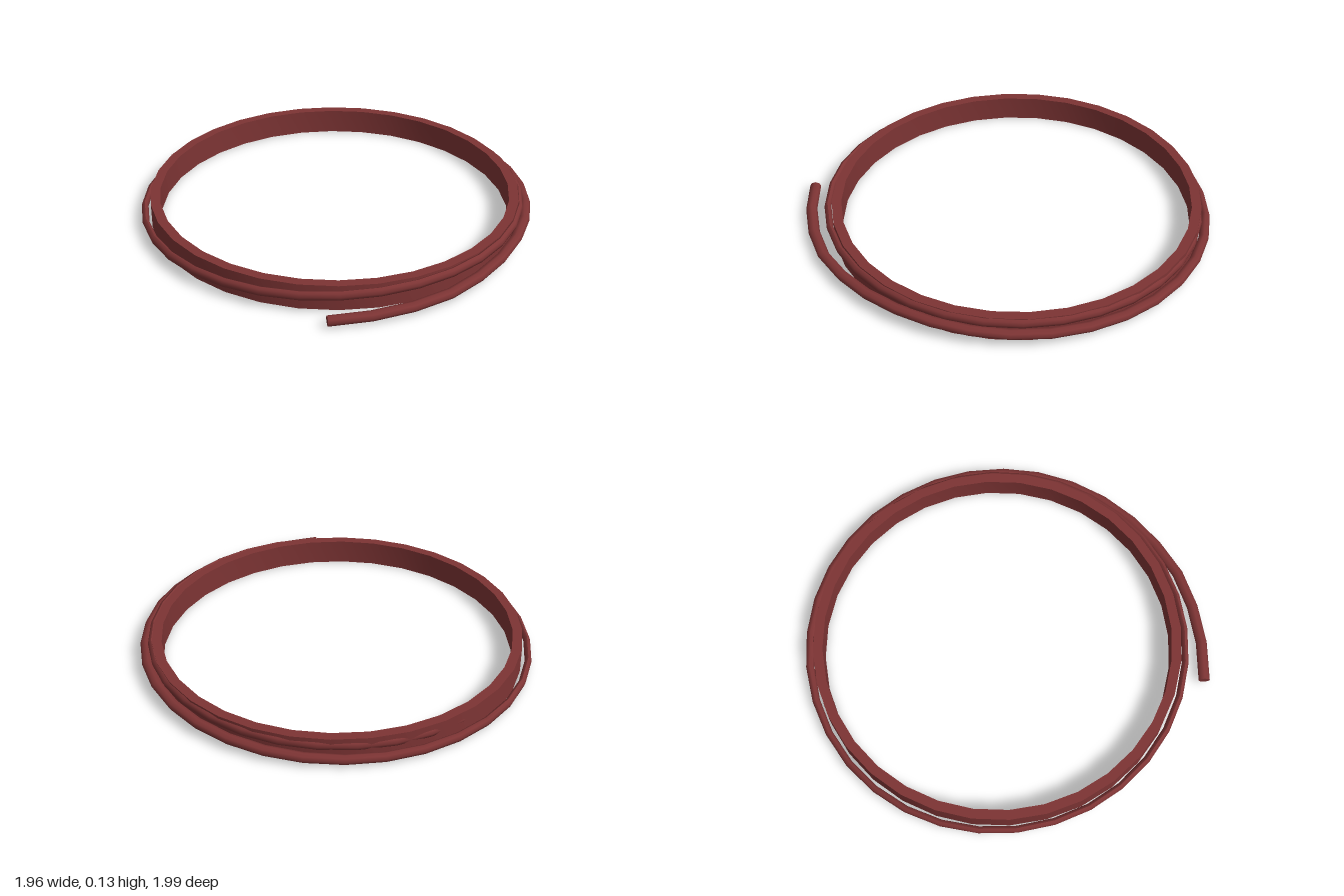
import * as THREE from 'three';
import { toCreasedNormals } from 'three/addons/utils/BufferGeometryUtils.js';

const CENTRE_Z = -0.027;

// Coil path: [angle in degrees from the front towards +x, radius, height]
const COIL = [
  [19.4, 1.055, 0.034], [36, 1.022, 0.04], [51, 1.005, 0.048], [65, 0.98, 0.057],
  [90, 0.957, 0.073], [135, 0.95, 0.06], [180, 0.949, 0.041], [225, 0.955, 0.031],
  [270, 0.961, 0.033], [315, 0.957, 0.055], [360, 0.951, 0.08], [405, 0.938, 0.1],
  [450, 0.925, 0.104], [495, 0.92, 0.1], [540, 0.915, 0.088], [580, 0.912, 0.08], [614, 0.896, 0.075],
];

// Oval section swept along the path, narrowing after the first turn begins
function coilGeometry(steps, sides) {
  const curve = new THREE.CatmullRomCurve3(
    COIL.map(([a, r, y]) => new THREE.Vector3(THREE.MathUtils.degToRad(a), r, y)));
  const polar = curve.getSpacedPoints(steps);
  const path = polar.map(p => new THREE.Vector3(
    p.y * Math.sin(p.x), p.z, CENTRE_Z + p.y * Math.cos(p.x)));
  const up = new THREE.Vector3(0, 1, 0);
  const pos = [], index = [];

  path.forEach((c, i) => {
    const tangent = path[Math.min(i + 1, steps)].clone().sub(path[Math.max(i - 1, 0)]);
    const side = tangent.cross(up).normalize();
    const w = THREE.MathUtils.lerp(0.028, 0.017, THREE.MathUtils.smoothstep(polar[i].x, 2.8, 4.4));
    const h = 0.023;
    for (let j = 0; j < sides; j++) {
      const t = (j / sides) * Math.PI * 2;
      const s = Math.cos(t) * w;
      pos.push(c.x + side.x * s, c.y + Math.sin(t) * h, c.z + side.z * s);
    }
  });
  for (let i = 0; i < steps; i++) {
    for (let j = 0; j < sides; j++) {
      const k = (j + 1) % sides;
      const a = i * sides + j, d = i * sides + k;
      index.push(a, a + sides, d, a + sides, d + sides, d);
    }
  }
  // End caps
  const last = steps * sides;
  for (let j = 1; j < sides - 1; j++) {
    index.push(0, j, j + 1, last, last + j + 1, last + j);
  }
  const geo = new THREE.BufferGeometry();
  geo.setAttribute('position', new THREE.Float32BufferAttribute(pos, 3));
  geo.setIndex(index);
  return toCreasedNormals(geo, 1.0);
}

export function createModel() {
  const group = new THREE.Group();
  const darkRed = new THREE.MeshStandardMaterial({ color: 0x7d3434 });
  darkRed.name = 'darkRed';

  // Flat band with a rectangular section
  const section = [[0.923, 0], [0.923, 0.127], [0.875, 0.127], [0.875, 0], [0.923, 0]]
    .map(([x, y]) => new THREE.Vector2(x, y));
  const band = new THREE.Mesh(toCreasedNormals(new THREE.LatheGeometry(section, 32), 0.6), darkRed);
  band.name = 'band';
  band.position.set(-0.004, 0, CENTRE_Z);
  group.add(band);

  // Cord wound around the outside of the band
  const coil = new THREE.Mesh(coilGeometry(54, 8), darkRed);
  coil.name = 'coil';
  group.add(coil);

  return group;
}
